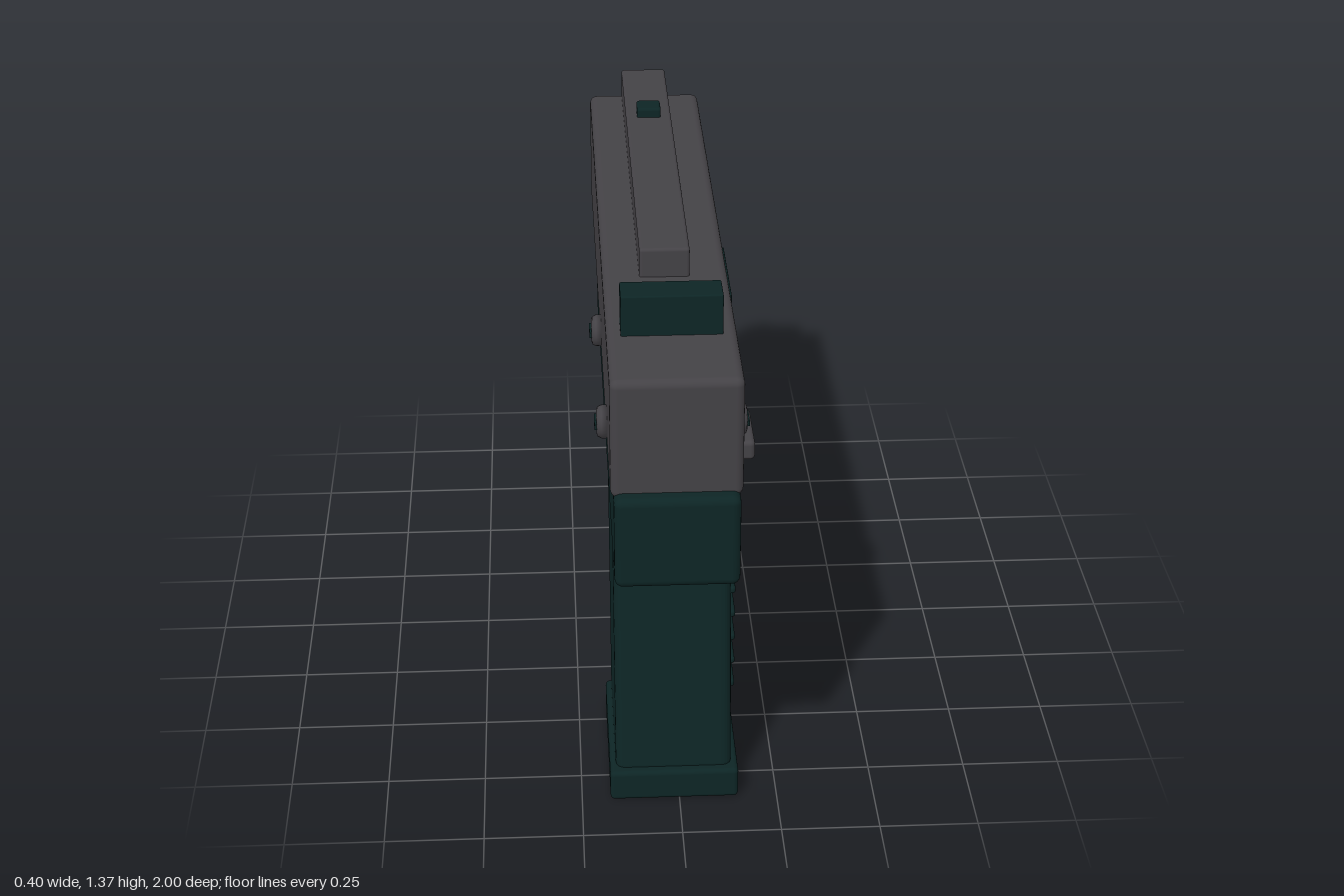
import * as THREE from 'three';
import { RoundedBoxGeometry } from 'three/addons/geometries/RoundedBoxGeometry.js';

export function createModel() {
  const model = new THREE.Group();
  const grey = new THREE.MeshStandardMaterial({ color: 0x444246 });
  grey.name = 'gunmetalGrey';
  const teal = new THREE.MeshStandardMaterial({ color: 0x0d2525 });
  teal.name = 'darkTeal';
  const cx = -0.015; // body centreline

  const add = (name, geometry, material) => {
    const mesh = new THREE.Mesh(geometry, material);
    mesh.name = name;
    model.add(mesh);
    return mesh;
  };
  // Rounded box from its limits on each axis
  const box = (name, material, [x0, x1], [y0, y1], [z0, z1], r = 0.01) => {
    const mesh = add(name, new RoundedBoxGeometry(x1 - x0, y1 - y0, z1 - z0, 3, r), material);
    mesh.position.set((x0 + x1) / 2, (y0 + y1) / 2, (z0 + z1) / 2);
    return mesh;
  };
  // Side outline of [z, y] points, extruded across x
  const plate = (name, material, points, width) => {
    const shape = new THREE.Shape(points.map(([z, y]) => new THREE.Vector2(z, y)));
    const geometry = new THREE.ExtrudeGeometry(shape, { depth: width, bevelEnabled: false });
    geometry.translate(0, 0, -width / 2).rotateY(-Math.PI / 2).translate(cx, 0, 0);
    return add(name, geometry, material);
  };

  // Slide, top rib and frame
  box('slide', grey, [-0.172, 0.143], [0.952, 1.264], [-0.866, 0.962], 0.02);
  box('topRib', grey, [-0.079, 0.047], [1.22, 1.34], [-0.866, 0.398], 0.008);
  box('frame', teal, [-0.165, 0.136], [0.728, 0.97], [-0.552, 1.0], 0.02);

  // Sights
  box('rearSight', teal, [-0.137, 0.108], [1.23, 1.367], [0.638, 0.724], 0.004);
  box('frontSight', teal, [-0.048, 0.018], [1.31, 1.366], [-0.552, -0.482], 0.008);

  // Barrel with rounded rim, and bore
  const barrelProfile = [[0, 0], [0.083, 0], [0.083, 0.14], [0.08, 0.147], [0.074, 0.15], [0, 0.15]]
    .map(([r, y]) => new THREE.Vector2(r, y));
  const barrel = add('barrel', new THREE.LatheGeometry(barrelProfile, 32), grey);
  barrel.rotation.x = -Math.PI / 2;
  barrel.position.set(cx, 1.11, -0.832);
  const bore = add('bore', new THREE.CylinderGeometry(0.06, 0.06, 0.02, 32), teal);
  bore.rotation.x = -Math.PI / 2;
  bore.position.set(cx, 1.11, -0.99);

  // Ejection port and slide grooves
  box('ejectionPort', teal, [0.138, 0.147], [1.098, 1.245], [0.187, 0.473], 0.002);
  for (const z of [0.79, 0.718, 0.647, 0.577]) {
    box('slideGroove', teal, [0.138, 0.15], [0.99, 1.185], [z - 0.01, z + 0.01], 0.003);
  }

  // Slotted pins on both sides
  const pinProfile = [[0, 0], [0.041, 0], [0.041, 0.018], [0.036, 0.027], [0.028, 0.03], [0, 0.03]]
    .map(([r, y]) => new THREE.Vector2(r, y));
  for (const side of [1, -1]) {
    for (const z of [0.72, 0.225]) {
      const pin = add('pin', new THREE.LatheGeometry(pinProfile, 24), grey);
      pin.rotation.z = -side * Math.PI / 2;
      pin.position.set(cx + side * 0.153, 1.033, z);
      const slot = add('pinSlot', new THREE.BoxGeometry(0.008, 0.014, 0.058), teal);
      slot.position.set(cx + side * 0.184, 1.033, z);
    }
  }

  // Side lever
  box('sideLever', grey, [0.125, 0.198], [0.865, 0.918], [0.449, 0.635], 0.012);

  // Raked grip with its base and ridges
  const gripGeometry = new RoundedBoxGeometry(0.296, 0.69, 0.405, 3, 0.025);
  const p = gripGeometry.attributes.position;
  for (let i = 0; i < p.count; i++) p.setZ(i, p.getZ(i) - 0.155 * p.getY(i));
  gripGeometry.computeVertexNormals();
  add('grip', gripGeometry, teal).position.set(-0.014, 0.41, 0.583);
  box('gripBase', teal, [-0.177, 0.151], [0, 0.085], [0.434, 0.86], 0.012);
  for (let i = 0; i < 6; i++) {
    const y = 0.263 + i * 0.0705;
    box('gripRidge', teal, [0.12, 0.147], [y - 0.01, y + 0.01], [0.42, 0.732], 0.008);
  }

  // Trigger guard and trigger
  plate('triggerGuard', teal, [
    [0.35, 0.66], [0.34, 0.62], [0.237, 0.495], [0.08, 0.503], [-0.093, 0.497], [-0.155, 0.74],
    [-0.115, 0.74], [-0.075, 0.537], [0.08, 0.522], [0.222, 0.53], [0.33, 0.66],
  ], 0.06);
  plate('trigger', grey, [
    [0.145, 0.74], [0.115, 0.67], [0.155, 0.59], [0.13, 0.575], [0.082, 0.667], [0.115, 0.74],
  ], 0.05);

  return model;
}
